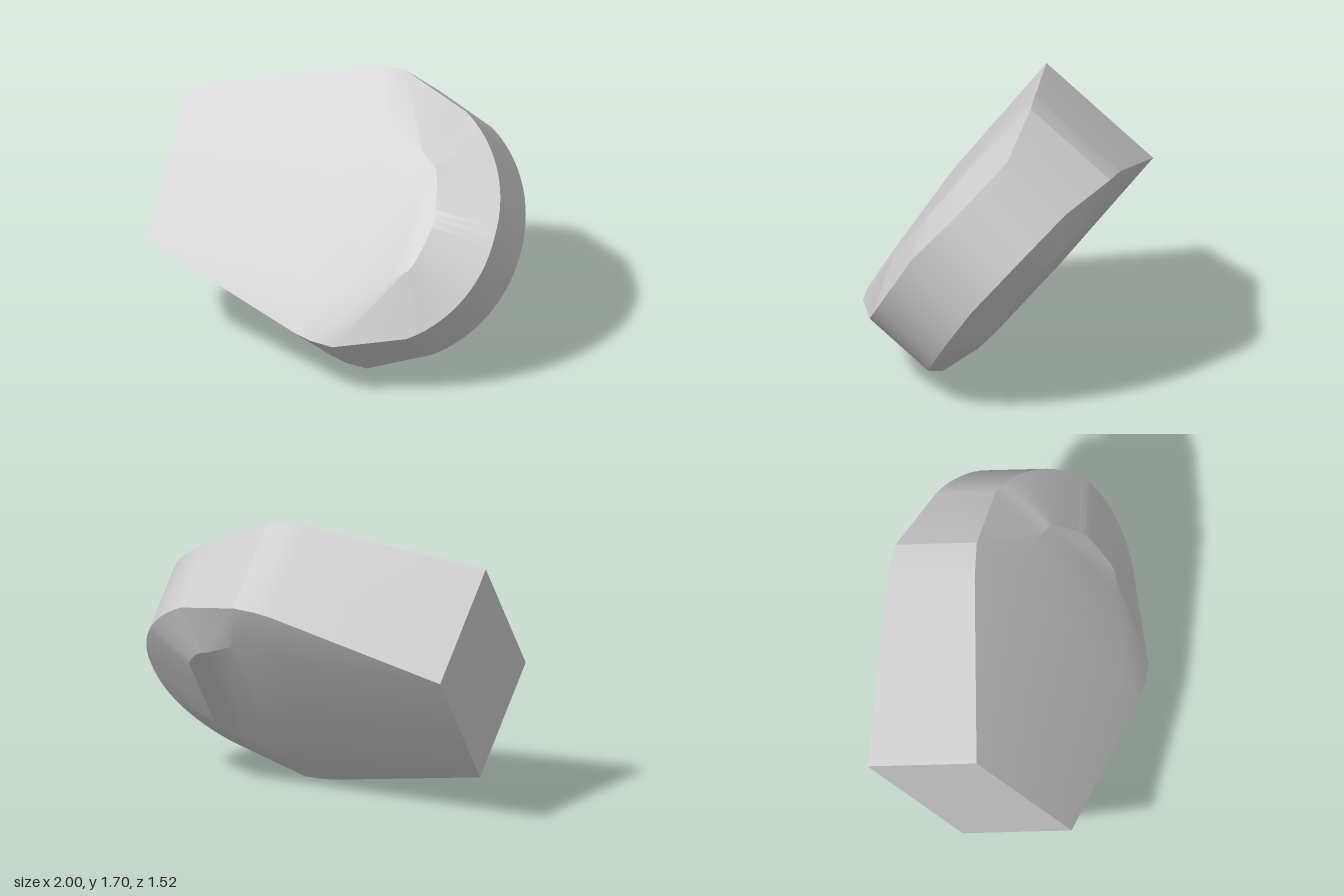
import * as THREE from 'three';
import { toCreasedNormals } from 'three/addons/utils/BufferGeometryUtils.js';

// Half outline stations: rim x, half width, back depth, front depth,
// then the inner edge of the front face and of the back face (x, half width, depth)
const stations = [
  [-1, 0.46, 0.12, 0.94, [-1, 0.46, 0.94], [-1, 0.46, 0.12]],
  [0.0, 0.8, 0.195, 0.855, [0.0, 0.55, 0.88], [0.0, 0.52, 0.125]],
  [0.1, 0.823, 0.2, 0.845, [0.2, 0.52, 0.87], [0.15, 0.53, 0.13]],
  [0.23, 0.83, 0.205, 0.817, [0.48, 0.38, 0.855], [0.3, 0.53, 0.135]],
  [0.62, 0.68, 0.26, 0.712, [0.56, 0.32, 0.85], [0.5, 0.42, 0.14]],
];

// Rounded nose
const steps = 14;
for (let i = 1; i <= steps; i++) {
  const t = i / steps;
  const a = (1 - t) * 1.0;
  const inner = Math.sin((1 - t) * Math.PI / 2);
  stations.push([
    0.2 + 0.8 * Math.cos(a), 0.8 * Math.sin(a), 0.26 + 0.03 * t, 0.712 + 0.038 * t * t,
    [0.56 + 0.1 * t, 0.32 * inner, 0.85],
    [0.5 + 0.13 * Math.min(1, t * 2), 0.42 * inner, 0.14],
  ]);
}

// Closed eight-point section, mirrored across the middle
function section([x, w, back, front, f, b]) {
  const half = [[f[0], f[1], f[2]], [x, w, front], [x, w, back], [b[0], b[1], b[2]]];
  const mirrored = half.map(([px, py, pz]) => [px, -py, pz]).reverse();
  return [...half, ...mirrored].map((p) => new THREE.Vector3(...p));
}

function slabGeometry() {
  const positions = [];
  const tri = (a, b, c) => {
    const area = b.clone().sub(a).cross(c.clone().sub(a)).length();
    if (area > 1e-7) for (const p of [a, b, c]) positions.push(p.x, p.y, p.z);
  };
  const rings = stations.map(section);
  for (let i = 0; i < rings.length - 1; i++) {
    for (let j = 0; j < 8; j++) {
      const k = (j + 1) % 8;
      const [a, b, c, d] = [rings[i][j], rings[i][k], rings[i + 1][k], rings[i + 1][j]];
      tri(a, d, c);
      tri(a, c, b);
    }
  }
  // Flat end
  const e = rings[0];
  tri(e[1], e[2], e[5]);
  tri(e[1], e[5], e[6]);
  const geometry = new THREE.BufferGeometry();
  geometry.setAttribute('position', new THREE.Float32BufferAttribute(positions, 3));
  return toCreasedNormals(geometry, 0.3);
}

export function createModel() {
  const group = new THREE.Group();
  group.name = 'tiltedSlab';
  const lightGrey = new THREE.MeshStandardMaterial({ color: 0xcccccc });
  lightGrey.name = 'lightGrey';

  // Slab leaning backwards
  const slab = new THREE.Mesh(slabGeometry(), lightGrey);
  slab.name = 'slab';
  slab.rotation.x = -0.661;
  slab.position.set(0, 0.531, -0.413);
  group.add(slab);
  return group;
}
